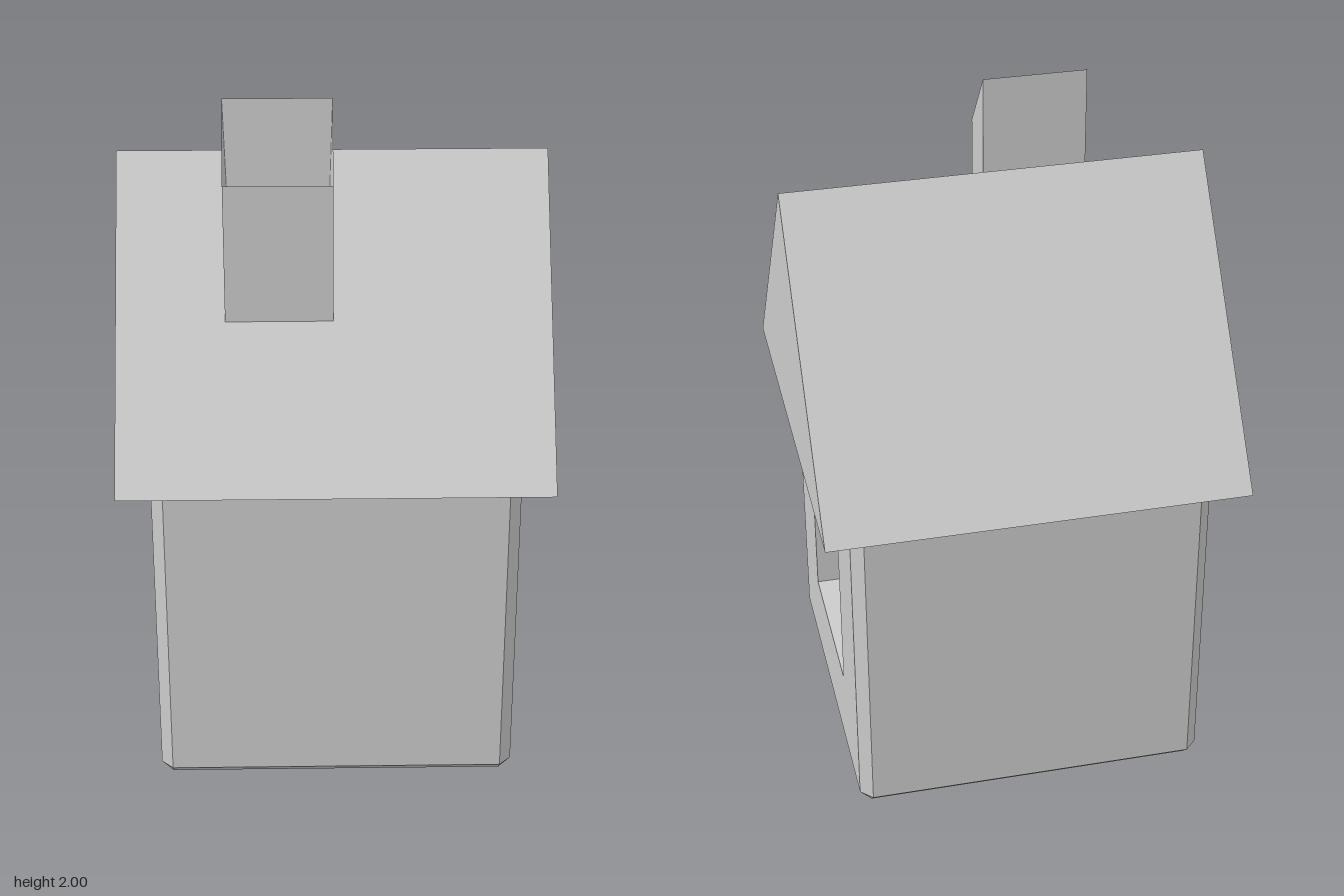
import * as THREE from 'three';

const material = new THREE.MeshStandardMaterial({ color: 0xcccccc, flatShading: true });

// Quad skin between two rings of equal length; corners run counter-clockwise seen from outside.
function loft(out, a, b, skip = -1) {
  for (let i = 0; i < a.length; i++) {
    const j = (i + 1) % a.length;
    if (i !== skip) out.push(a[i], a[j], b[j], a[i], b[j], b[i]);
  }
}

function cap(out, r) {
  out.push(r[0], r[1], r[2], r[0], r[2], r[3]);
}

function meshFrom(name, points) {
  const geometry = new THREE.BufferGeometry();
  geometry.setAttribute('position', new THREE.Float32BufferAttribute(points.flat(), 3));
  geometry.computeVertexNormals();
  const mesh = new THREE.Mesh(geometry, material);
  mesh.name = name;
  return mesh;
}

const SIGNS = [[1, 1], [1, -1], [-1, -1], [-1, 1]];

// Walls: chamfered box with a deep square window recess on the left (+x) side
function createWalls() {
  const cx = 0.003, cz = -0.01, h = 0.518, c = 0.034, top = 1.02;
  const ring = (y, outer) => SIGNS.flatMap(([sx, sz], i) => {
    const alongX = [cx + sx * outer, y, cz + sz * (h - c)];
    const alongZ = [cx + sx * (h - c), y, cz + sz * outer];
    return i % 2 ? [alongX, alongZ] : [alongZ, alongX];
  });
  const base = ring(0, h - c), low = ring(c, h), high = ring(top, h);
  const points = [];
  loft(points, base, low);
  loft(points, low, high, 1); // the window side is framed separately
  cap(points, [base[6], base[4], base[2], base[0]]);

  const rect = (x, y0, y1, zFront, zBack) =>
    [[x, y0, zFront], [x, y0, zBack], [x, y1, zBack], [x, y1, zFront]];
  const side = rect(cx + h, c, top, cz + h - c, cz - h + c);
  const opening = rect(cx + h, 0.28, 0.77, 0.23, -0.255);
  const recess = rect(cx + h - 0.49, 0.28, 0.77, 0.23, -0.255);
  loft(points, side, opening);
  loft(points, opening, recess);
  cap(points, recess);
  return meshFrom('walls', points);
}

// Roof: solid triangular prism with its ridge along x
function createRoof() {
  const half = 0.605;
  const gable = new THREE.Shape([
    new THREE.Vector2(-half, 1.01),
    new THREE.Vector2(half, 1.01),
    new THREE.Vector2(0, 1.79),
  ]);
  const geometry = new THREE.ExtrudeGeometry(gable, { depth: 2 * half, bevelEnabled: false });
  geometry.translate(0, 0, -half).rotateY(Math.PI / 2);
  const mesh = new THREE.Mesh(geometry, material);
  mesh.name = 'roof';
  return mesh;
}

// Chimney: open shaft on the front slope, its slanted rim parallel to the roof
function createChimney() {
  const ring = (lift, inset) => SIGNS.map(([sx, sz]) => {
    const z = 0.226 + sz * (0.075 - inset);
    return [-0.152 + sx * (0.15 - inset), 1.79 - 1.29 * z + lift, z];
  });
  const points = [];
  const rim = ring(0.404, 0);
  loft(points, ring(-0.03, 0), rim);
  loft(points, rim, ring(-0.01, 0.013));
  return meshFrom('chimney', points);
}

export function createModel() {
  const house = new THREE.Group();
  house.name = 'house';
  house.add(createWalls(), createRoof(), createChimney());
  return house;
}
